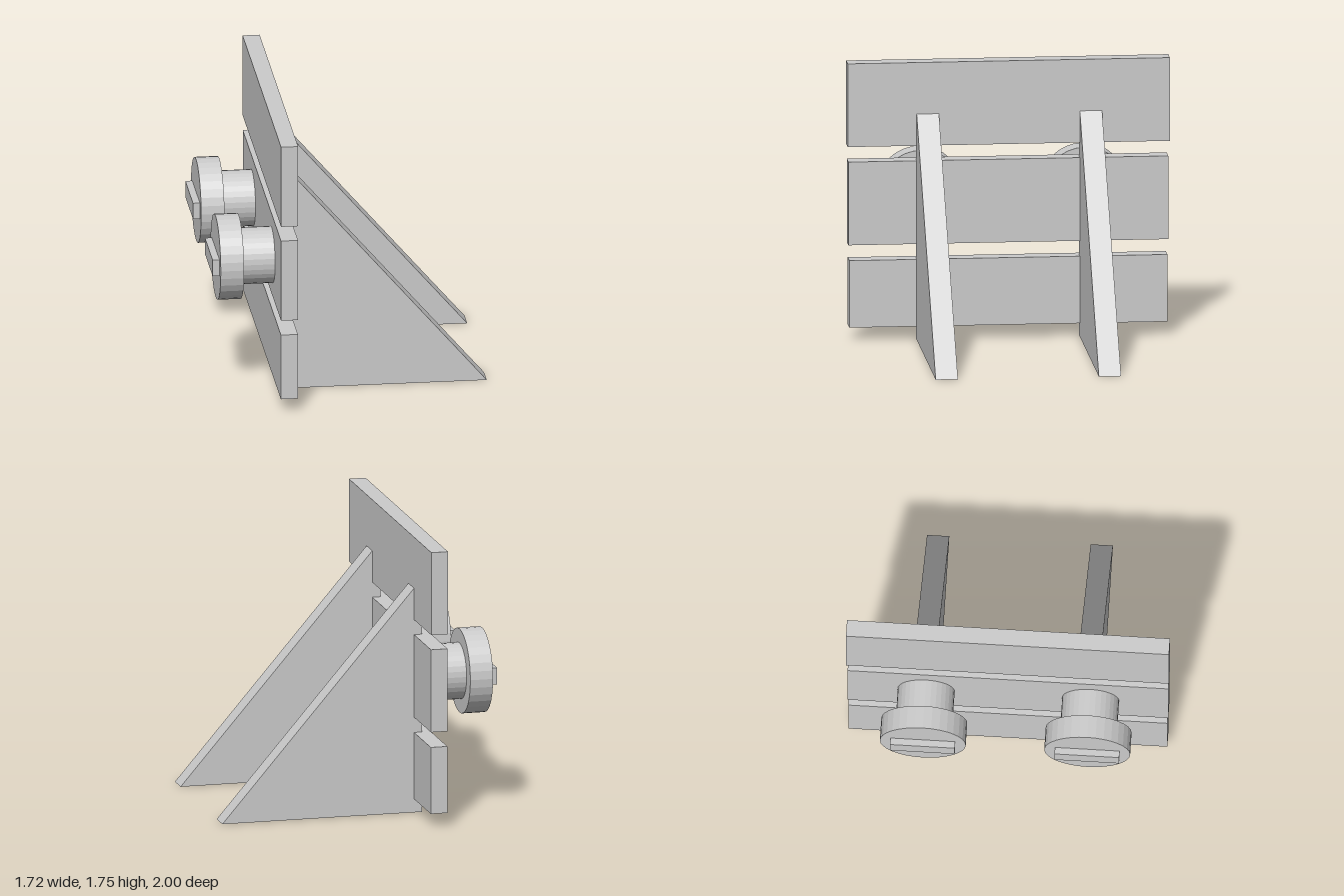
import * as THREE from 'three';

export function createModel() {
  const model = new THREE.Group();
  const material = new THREE.MeshStandardMaterial({ color: 0xcccccc, flatShading: true });

  const add = (parent, name, geometry, x, y, z) => {
    const mesh = new THREE.Mesh(geometry, material);
    mesh.name = name;
    mesh.position.set(x, y, z);
    parent.add(mesh);
    return mesh;
  };

  // Three horizontal planks: name, bottom, top, back end, front end
  const planks = [
    ['bottomPlank', 0.085, 0.508, -0.985, 0.99],
    ['middlePlank', 0.605, 1.13, -0.99, 0.996],
    ['topPlank', 1.225, 1.75, -1, 1],
  ];
  for (const [name, y0, y1, z0, z1] of planks) {
    add(model, name, new THREE.BoxGeometry(0.106, y1 - y0, z1 - z0), -0.418, (y0 + y1) / 2, (z0 + z1) / 2);
  }

  // Triangular braces, their upright edge let into the planks
  const profile = new THREE.Shape([
    new THREE.Vector2(-0.416, 0),
    new THREE.Vector2(0.86, 0),
    new THREE.Vector2(-0.365, 1.425),
    new THREE.Vector2(-0.416, 1.425),
  ]);
  const braceGeometry = new THREE.ExtrudeGeometry(profile, { depth: 0.138, bevelEnabled: false });
  add(model, 'frontBrace', braceGeometry, 0, 0, 0.434);
  add(model, 'backBrace', braceGeometry, 0, 0, -0.579);

  // Round bumpers on the middle plank: neck, wide head and a flat bar
  const neck = new THREE.CylinderGeometry(0.176, 0.176, 0.205, 32).rotateZ(Math.PI / 2);
  const head = new THREE.CylinderGeometry(0.266, 0.266, 0.145, 32).rotateZ(Math.PI / 2);
  const bar = new THREE.BoxGeometry(0.044, 0.105, 0.4);
  for (const [name, z] of [['frontBumper', 0.515], ['backBumper', -0.503]]) {
    const bumper = new THREE.Group();
    bumper.name = name;
    bumper.position.set(0, 0.865, z);
    add(bumper, 'neck', neck, -0.5725, 0, 0);
    add(bumper, 'head', head, -0.7475, 0, 0);
    add(bumper, 'bar', bar, -0.841, 0, 0);
    model.add(bumper);
  }

  return model;
}
